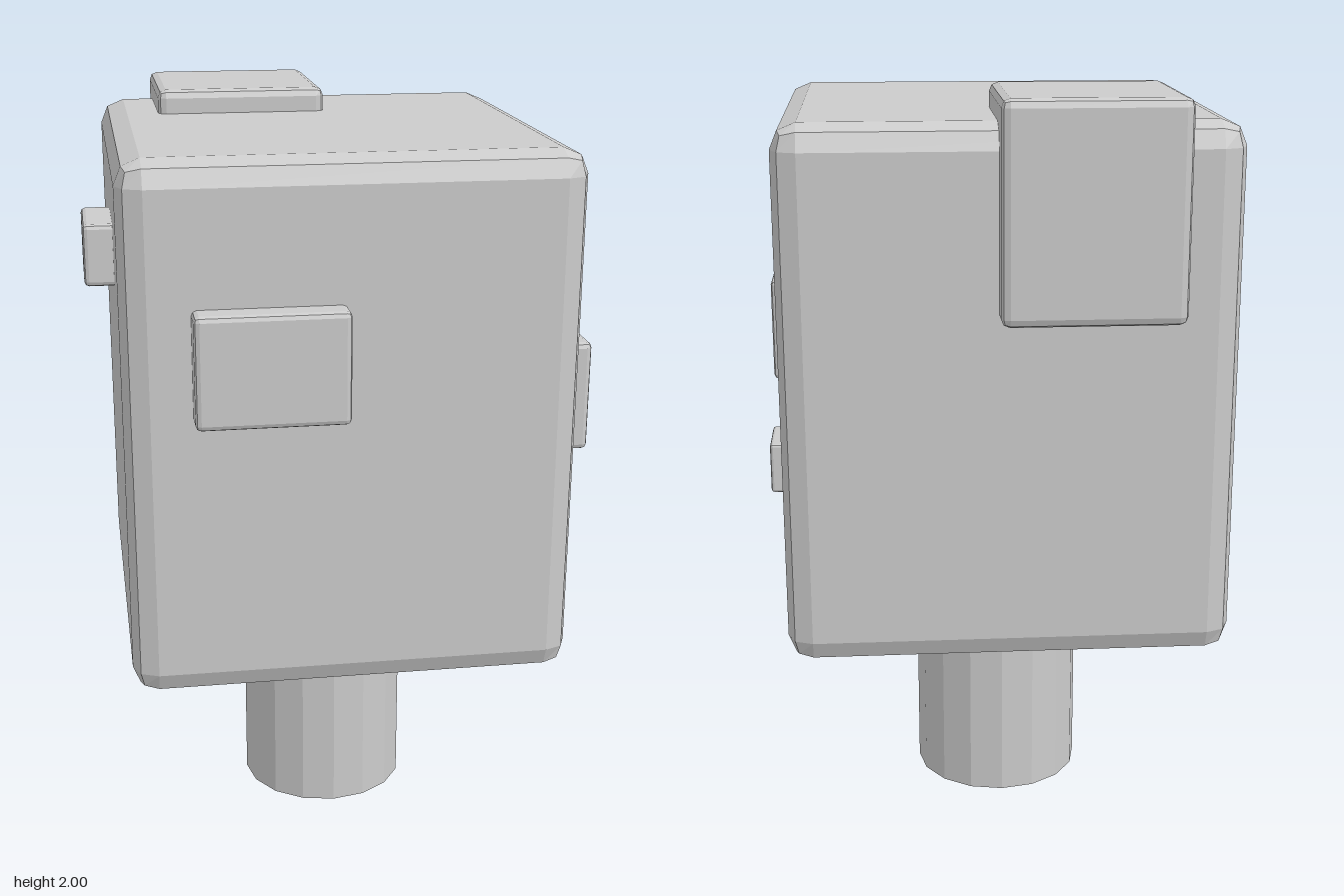
import * as THREE from 'three';
import { RoundedBoxGeometry } from 'three/addons/geometries/RoundedBoxGeometry.js';

const material = new THREE.MeshStandardMaterial({ color: 0xcccccc, flatShading: true });

// Bevelled block given by its [min, max] extent on each axis
function block(name, [x0, x1], [y0, y1], [z0, z1], bevel) {
  const geometry = new RoundedBoxGeometry(x1 - x0, y1 - y0, z1 - z0, 1, bevel);
  const mesh = new THREE.Mesh(geometry, material);
  mesh.name = name;
  mesh.position.set((x0 + x1) / 2, (y0 + y1) / 2, (z0 + z1) / 2);
  return mesh;
}

export function createModel() {
  const group = new THREE.Group();
  group.name = 'blockTree';

  // Trunk, running a little way into the crown
  const trunk = new THREE.Mesh(new THREE.CylinderGeometry(0.23, 0.23, 0.7, 16), material);
  trunk.name = 'trunk';
  trunk.position.set(0.01, 0.35, -0.015);
  group.add(trunk);

  // Crown and the smaller leaf blocks set into its sides
  group.add(
    block('crown', [-0.565, 0.585], [0.557, 1.937], [-0.58, 0.572], 0.065),
    block('topBackLeaves', [-0.415, 0.041], [1.455, 2], [-0.647, -0.192], 0.022),
    block('frontLeaves', [-0.395, -0.015], [1.298, 1.582], [0.44, 0.643], 0.014),
    block('rightLeaves', [-0.64, -0.44], [1.577, 1.735], [0.045, 0.285], 0.012),
    block('leftLargeLeaves', [0.43, 0.635], [1.143, 1.43], [0.087, 0.47], 0.014),
    block('leftSmallLeaves', [0.5, 0.635], [0.905, 1.042], [-0.208, -0.028], 0.008),
  );
  return group;
}
